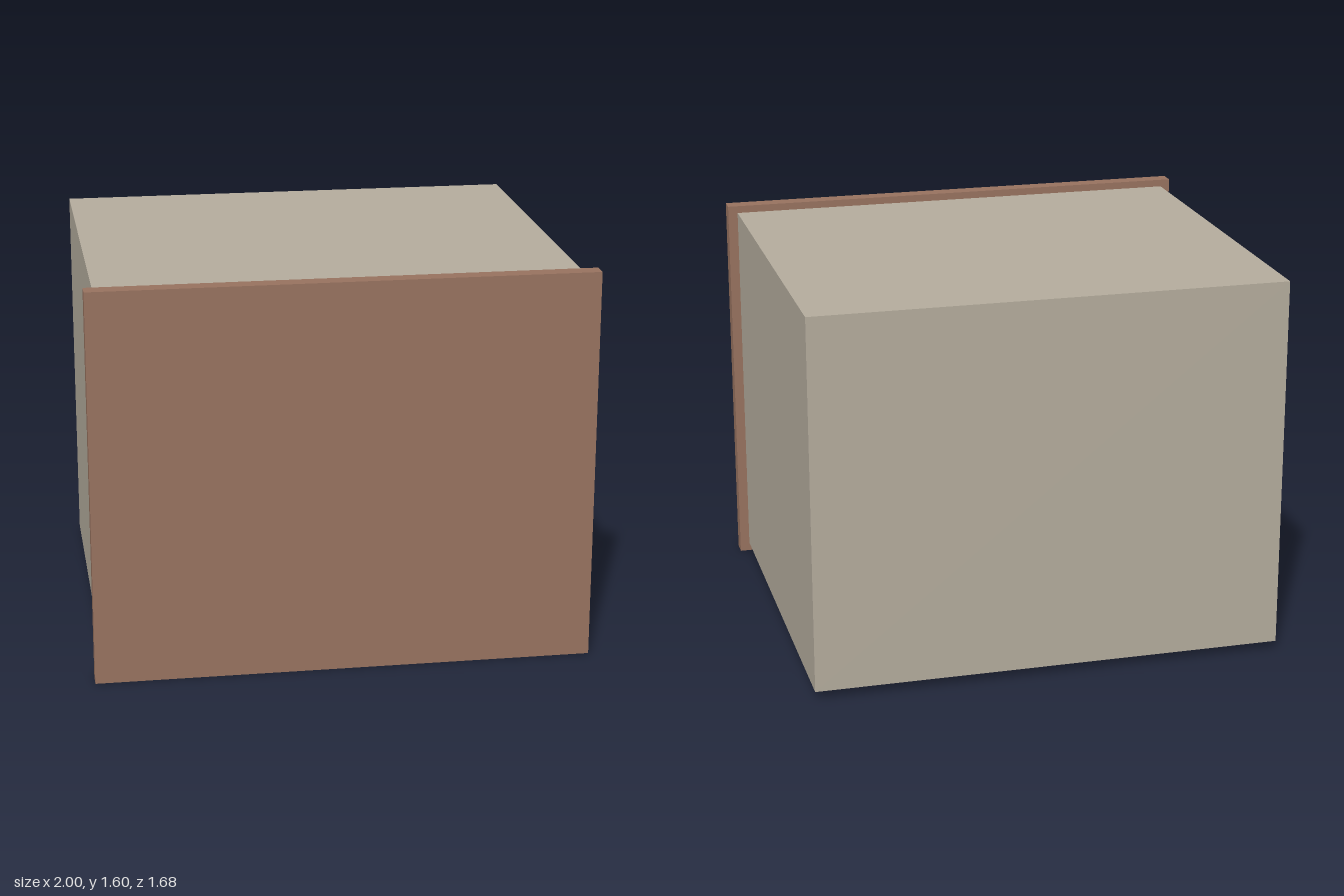
import * as THREE from 'three';

export function createModel() {
  const model = new THREE.Group();
  model.name = 'cabinet';

  const material = (name, color) => {
    const m = new THREE.MeshStandardMaterial({ color });
    m.name = name;
    return m;
  };
  const stone = material('warm grey', 0xb4ac9d);
  const brown = material('brown', 0x97725f);
  const teal = material('blue grey', 0x64909c);

  // Box given by its minimum and maximum corners
  const box = (name, mat, [x0, y0, z0], [x1, y1, z1]) => {
    const mesh = new THREE.Mesh(new THREE.BoxGeometry(x1 - x0, y1 - y0, z1 - z0), mat);
    mesh.name = name;
    mesh.position.set((x0 + x1) / 2, (y0 + y1) / 2, (z0 + z1) / 2);
    model.add(mesh);
  };

  // Main body and the larger panel covering its front
  box('body', stone, [-0.96, 0.036, -0.84], [0.96, 1.57, 0.773]);
  box('frontPanel', brown, [-1, 0, 0.773], [1, 1.6, 0.84]);

  // Two rows of three small feet under the body
  for (const z of [-0.53, 0.508]) {
    for (const x of [-0.735, 0, 0.735]) {
      box('footPad', teal, [x - 0.08, 0.021, z - 0.065], [x + 0.08, 0.036, z + 0.065]);
    }
  }

  return model;
}
